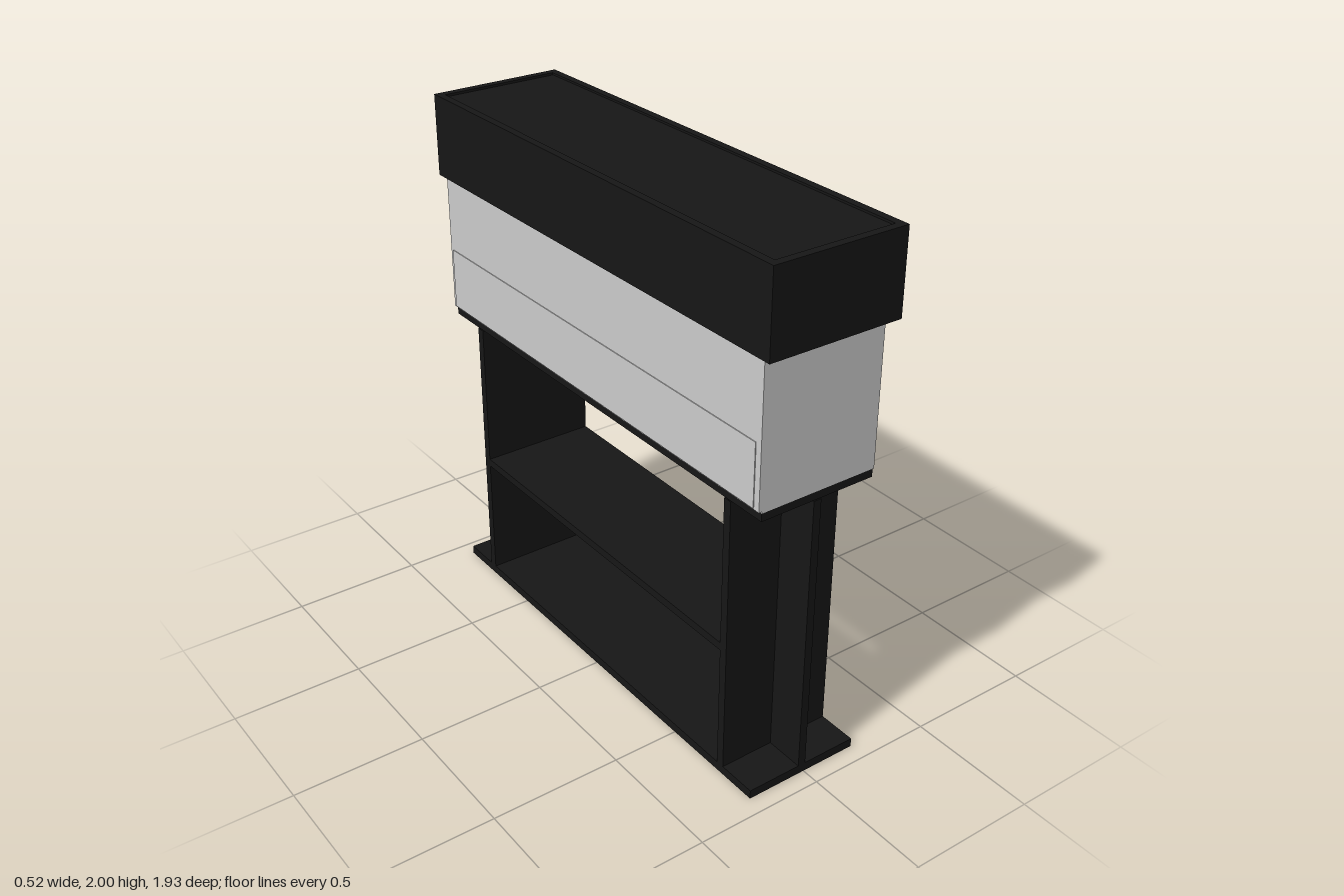
import * as THREE from 'three';

export function createModel() {
  const model = new THREE.Group();
  const dark = new THREE.MeshStandardMaterial({ color: 0x161616 });
  const glass = new THREE.MeshStandardMaterial({ color: 0xcccccc });
  const pale = new THREE.MeshStandardMaterial({ color: 0xe0e0e0 });

  // Box given by its extents on each axis
  function box(name, material, [x0, x1], [y0, y1], [z0, z1], parent = model) {
    const mesh = new THREE.Mesh(new THREE.BoxGeometry(x1 - x0, y1 - y0, z1 - z0), material);
    mesh.position.set((x0 + x1) / 2, (y0 + y1) / 2, (z0 + z1) / 2);
    mesh.name = name;
    parent.add(mesh);
    return mesh;
  }

  // Stand: base, shelf and top board
  const stand = new THREE.Group();
  stand.name = 'stand';
  model.add(stand);
  const width = [-0.24, 0.222];
  box('baseBoard', dark, width, [0, 0.034], [-0.93, 0.93], stand);
  box('middleShelf', dark, width, [0.518, 0.549], [-0.745, 0.745], stand);
  box('topBoard', dark, width, [1.123, 1.153], [-0.93, 0.93], stand);

  // T-shaped legs: a cross panel with a central fin facing outward
  for (const s of [1, -1]) {
    const span = (a, b) => (s > 0 ? [a, b] : [-b, -a]);
    const end = s > 0 ? 'front' : 'back';
    box(end + 'LegPanel', dark, width, [0.034, 1.119], span(0.745, 0.778), stand);
    box(end + 'LegFin', dark, [-0.025, 0.006], [0.034, 1.119], span(0.778, 0.93), stand);
  }

  // Tank: floor and four panes, the right one standing slightly proud
  const tank = new THREE.Group();
  tank.name = 'tank';
  model.add(tank);
  box('tankFloor', glass, [-0.24, 0.226], [1.153, 1.175], [-0.93, 0.93], tank);
  box('leftPane', glass, [0.205, 0.228], [1.153, 1.72], [-0.93, 0.93], tank);
  box('rightPane', glass, [-0.252, -0.222], [1.16, 1.72], [-0.93, 0.93], tank);
  box('lowerRightPanel', pale, [-0.255, -0.252], [1.165, 1.4], [-0.915, 0.905], tank);
  for (const s of [1, -1]) {
    box(s > 0 ? 'frontPane' : 'backPane', glass, [-0.24, 0.226], [1.153, 1.72],
      s > 0 ? [0.907, 0.93] : [-0.93, -0.907], tank);
  }

  // Hood: four walls around a slightly sunken cover with a narrow gap on the right
  const hood = new THREE.Group();
  hood.name = 'hood';
  model.add(hood);
  const high = [1.69, 2];
  box('hoodRightWall', dark, [-0.264, -0.235], high, [-0.965, 0.965], hood);
  box('hoodLeftWall', dark, [0.231, 0.26], high, [-0.965, 0.965], hood);
  box('hoodFrontWall', dark, [-0.235, 0.231], high, [0.935, 0.965], hood);
  box('hoodBackWall', dark, [-0.235, 0.231], high, [-0.965, -0.935], hood);
  box('hoodCover', dark, [-0.226, 0.231], [1.965, 1.992], [-0.932, 0.935], hood);

  return model;
}
